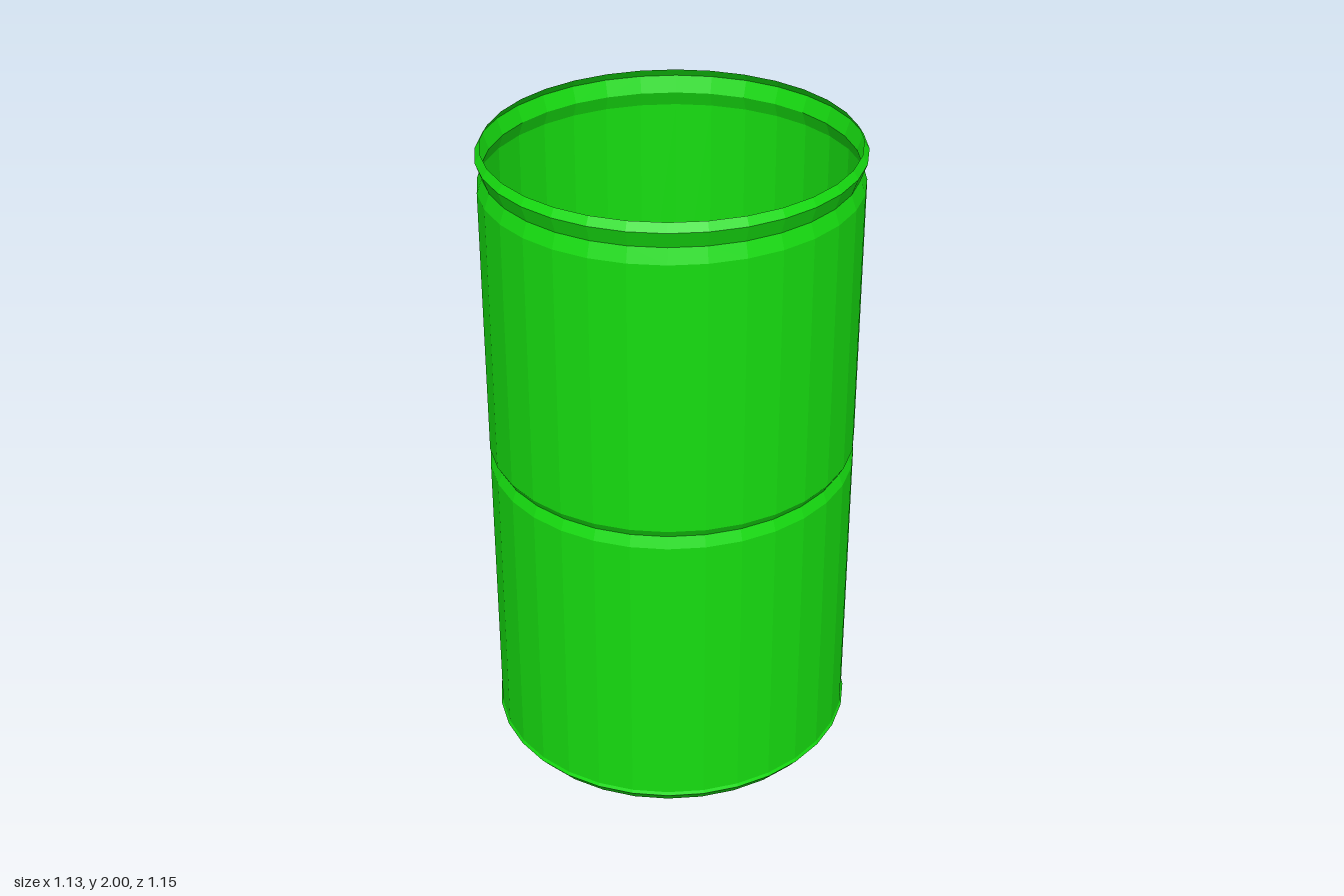
import * as THREE from 'three';

export function createModel() {
  const group = new THREE.Group();
  group.name = 'openDrum';
  const material = new THREE.MeshStandardMaterial({
    color: 0x16dd10, flatShading: true, side: THREE.DoubleSide,
  });
  const SIDES = 32;
  const X_SCALE = 0.984; // the drum is very slightly oval

  // One thin-walled shell from [radius, height] pairs
  const addShell = (name, profile) => {
    const points = profile.map(([r, y]) => new THREE.Vector2(r, y));
    const mesh = new THREE.Mesh(new THREE.LatheGeometry(points, SIDES), material);
    mesh.name = name;
    mesh.scale.x = X_SCALE;
    group.add(mesh);
  };

  // Floor disc with the chamfered foot
  addShell('base', [[0, 0], [0.543, 0], [0.576, 0.04], [0.571, 0.05]]);
  // Wall with the pinched groove at mid height
  addShell('wall', [[0.571, 0.05], [0.571, 0.965], [0.557, 1.0], [0.571, 1.025], [0.571, 1.88]]);
  // Pinched neck and open rim
  addShell('rim', [[0.571, 1.88], [0.555, 1.925], [0.573, 1.975], [0.557, 2.0]]);

  return group;
}
